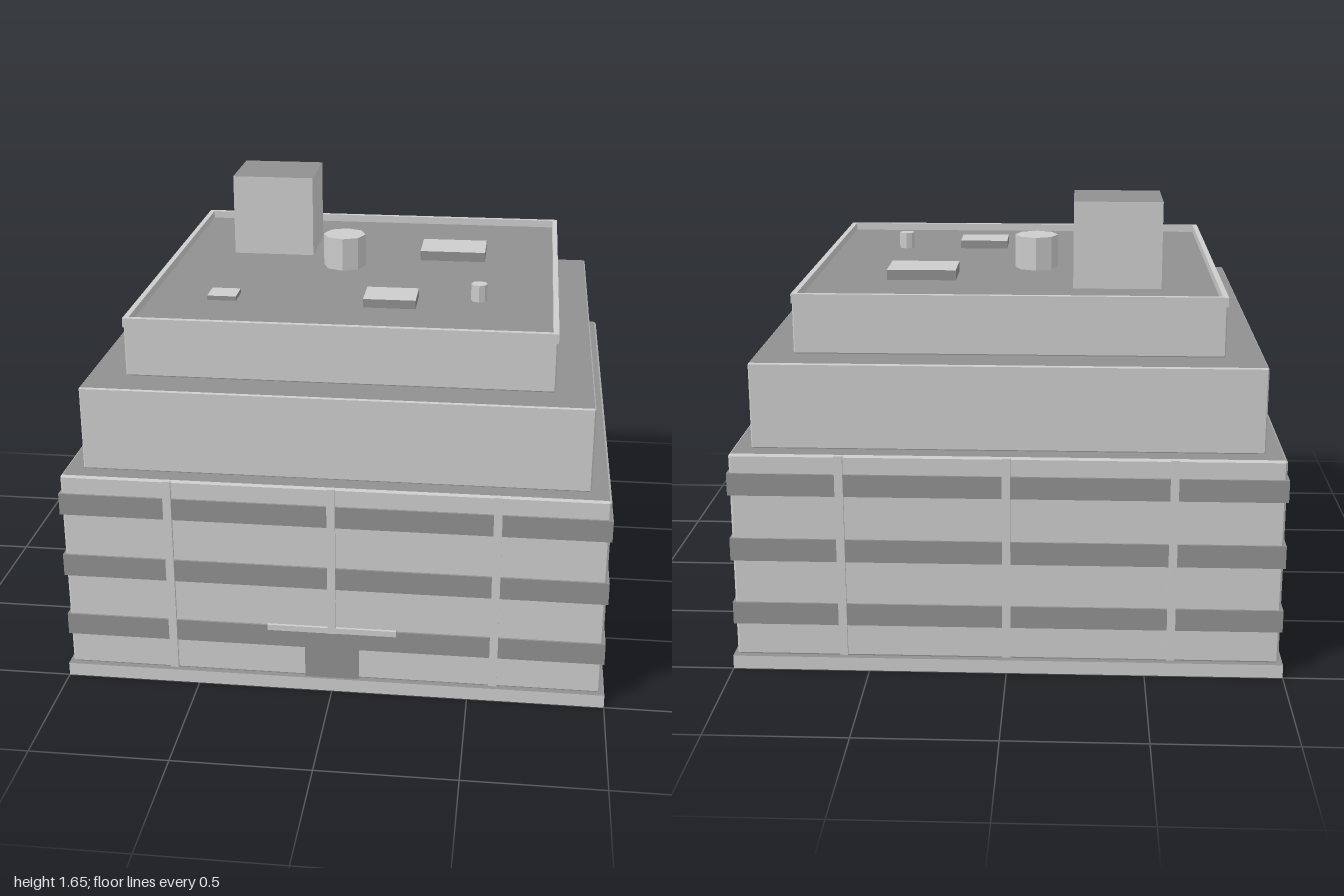
import * as THREE from 'three';

const mat = (name, color) => {
  const m = new THREE.MeshStandardMaterial({ color });
  m.name = name;
  return m;
};

export function createModel() {
  const model = new THREE.Group();
  model.name = 'officeBuilding';
  const light = mat('lightConcrete', 0xcccccc);
  const dark = mat('darkGrey', 0x909090);

  // Material order for box faces: right, left, top, bottom, front, back
  const darkTop = [light, light, dark, light, light, light];
  const lightTop = [dark, dark, light, dark, dark, dark];

  const add = (name, geometry, material, x, y, z, parent = model) => {
    const mesh = new THREE.Mesh(geometry, material);
    mesh.name = name;
    mesh.position.set(x, y, z);
    parent.add(mesh);
    return mesh;
  };
  // Box given by its extents
  const box = (name, material, [x0, x1], [y0, y1], [z0, z1], parent) =>
    add(name, new THREE.BoxGeometry(x1 - x0, y1 - y0, z1 - z0), material,
      (x0 + x1) / 2, (y0 + y1) / 2, (z0 + z1) / 2, parent);
  // Square storey block with flat chamfers on every edge and dark caps
  const tier = (name, h, y0, y1, b) => {
    const c = h - b;
    const plan = new THREE.Shape(
      [[h, -c], [h, c], [c, h], [-c, h], [-h, c], [-h, -c], [-c, -h], [c, -h]]
        .map(([x, y]) => new THREE.Vector2(x, y)));
    const g = new THREE.ExtrudeGeometry(plan, {
      depth: y1 - y0 - 2 * b, bevelThickness: b, bevelSize: b, bevelOffset: -b, bevelSegments: 1,
    });
    g.rotateX(-Math.PI / 2);
    add(name, g, [dark, light], 0, y0 + b, 0);
  };
  const group = (name) => {
    const g = new THREE.Group();
    g.name = name;
    model.add(g);
    return g;
  };

  // Plinth and stepped storeys
  box('plinth', darkTop, [-1, 1], [0, 0.05], [-1, 1]);
  tier('lowerStoreys', 0.985, 0.05, 0.82, 0.008);
  tier('middleStorey', 0.915, 0.82, 1.135, 0.005);
  tier('topStorey', 0.776, 1.135, 1.325, 0.005);

  // Window bands wrapping the lower storeys
  const bands = group('windowBands');
  for (const [y0, y1] of [[0.175, 0.258], [0.42, 0.505], [0.668, 0.75]])
    box('windowBand', dark, [-0.993, 0.993], [y0, y1], [-0.993, 0.993], bands);

  // Pilasters on the front and back; the middle front one stops at the canopy
  const pilasters = group('pilasters');
  for (const side of [1, -1]) {
    for (const x of [-0.593, 0, 0.593]) {
      const y0 = side > 0 && x === 0 ? 0.24 : 0.06;
      const p = box('pilaster', light, [x - 0.015, x + 0.015], [y0, 0.82], [-0.01, 0.01], pilasters);
      p.position.z = side * 0.988;
    }
  }

  // Entrance
  box('door', dark, [-0.1, 0.1], [0.05, 0.18], [0.98, 0.99]);
  box('canopy', light, [-0.237, 0.237], [0.24, 0.262], [0.975, 0.996]);

  // Roof parapet, slightly proud of the top storey
  const parapet = group('parapet');
  const o = 0.779, i = 0.759, py = [1.32, 1.355];
  for (const s of [1, -1]) {
    const span = s > 0 ? [i, o] : [-o, -i];
    box('parapetSide', light, span, py, [-o, o], parapet);
    box('parapetEnd', light, [-i, i], py, span, parapet);
  }

  // Rooftop equipment
  box('stairTower', darkTop, [-0.556, -0.228], [1.32, 1.65], [-0.5, -0.205]);
  box('largeRoofUnit', lightTop, [0.22, 0.484], [1.32, 1.364], [-0.368, -0.181]);
  box('mediumRoofUnit', lightTop, [0.055, 0.252], [1.32, 1.358], [0.31, 0.465]);
  box('smallRoofUnit', lightTop, [-0.54, -0.43], [1.32, 1.342], [0.337, 0.44]);
  const drum = (name, r, top, x, z) => {
    const g = new THREE.CylinderGeometry(r, r, top - 1.32, 8).toNonIndexed();
    g.computeVertexNormals();
    add(name, g, light, x, (top + 1.32) / 2, z);
  };
  drum('waterTank', 0.085, 1.455, -0.08, -0.081);
  drum('ventPipe', 0.031, 1.39, 0.482, 0.327);

  return model;
}
